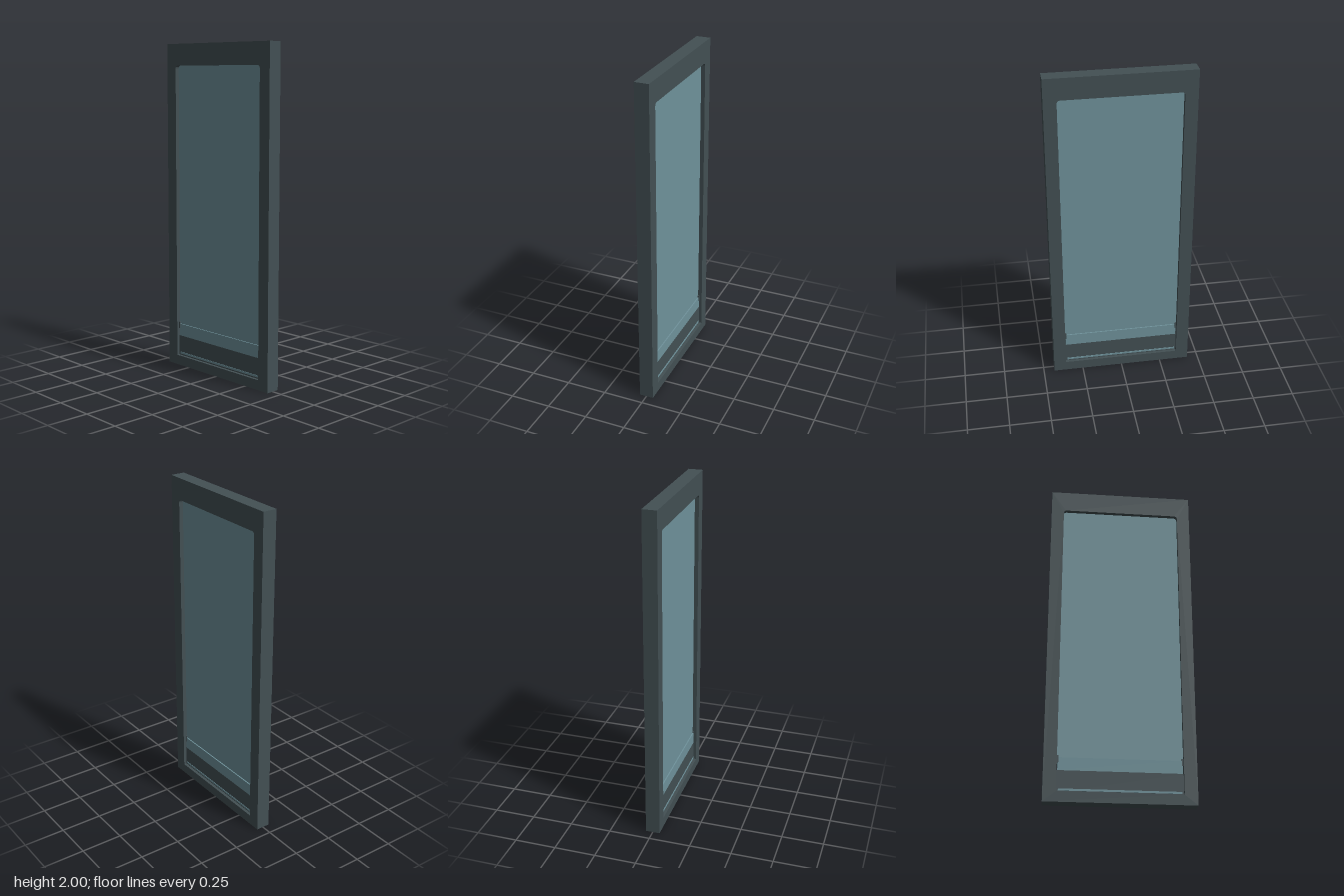
import * as THREE from 'three';

const frameMat = new THREE.MeshStandardMaterial({ name: 'darkFrame', color: 0x435054 });
const glassMat = new THREE.MeshStandardMaterial({ name: 'blueGlass', color: 0x70939c });

const W = 0.433, H = 2, D = 0.086;              // half width, height, depth of frame
const IN = 0.357, BOTTOM = 0.06, TOP = 1.87;    // opening

// Rectangle with small rounded upper corners
function openingPath(x, y0, y1, r) {
  const p = new THREE.Path();
  p.moveTo(-x, y0);
  p.lineTo(-x, y1 - r);
  p.quadraticCurveTo(-x, y1, -x + r, y1);
  p.lineTo(x - r, y1);
  p.quadraticCurveTo(x, y1, x, y1 - r);
  p.lineTo(x, y0);
  p.closePath();
  return p;
}

export function createModel() {
  const group = new THREE.Group();

  function addBox(name, mat, halfWidth, y0, y1, depth, z = 0) {
    const mesh = new THREE.Mesh(new THREE.BoxGeometry(halfWidth * 2, y1 - y0, depth), mat);
    mesh.name = name;
    mesh.position.set(0, (y0 + y1) / 2, z);
    group.add(mesh);
  }

  // Outer frame with a full-depth opening
  const outline = new THREE.Shape();
  outline.moveTo(-W, 0);
  outline.lineTo(W, 0);
  outline.lineTo(W, H);
  outline.lineTo(-W, H);
  outline.closePath();
  outline.holes.push(openingPath(IN, BOTTOM, TOP, 0.02));
  const frameGeo = new THREE.ExtrudeGeometry(outline, { depth: D, bevelEnabled: false, curveSegments: 5 });
  frameGeo.translate(0, 0, -D / 2);
  const frame = new THREE.Mesh(frameGeo, frameMat);
  frame.name = 'frame';
  group.add(frame);

  // Recessed pane, thicker lower strip and dark bottom rail
  addBox('glassPane', glassMat, IN + 0.005, 0.255, TOP + 0.005, 0.036);
  addBox('lowerGlassStrip', glassMat, IN - 0.004, 0.185, 0.26, 0.05);
  addBox('bottomRail', frameMat, IN + 0.004, BOTTOM - 0.005, 0.185, 0.05);

  // Narrow light sill line along the rail, on both sides
  for (const side of [1, -1]) {
    addBox('sillLine', glassMat, IN - 0.01, 0.068, 0.08, 0.003, side * 0.026);
  }

  // Small clips where the strip meets the jambs
  for (const x of [1, -1]) {
    const clip = new THREE.Mesh(new THREE.BoxGeometry(0.01, 0.04, 0.054), frameMat);
    clip.name = 'stripClip';
    clip.position.set(x * (IN - 0.004), 0.252, 0);
    group.add(clip);
  }
  return group;
}
